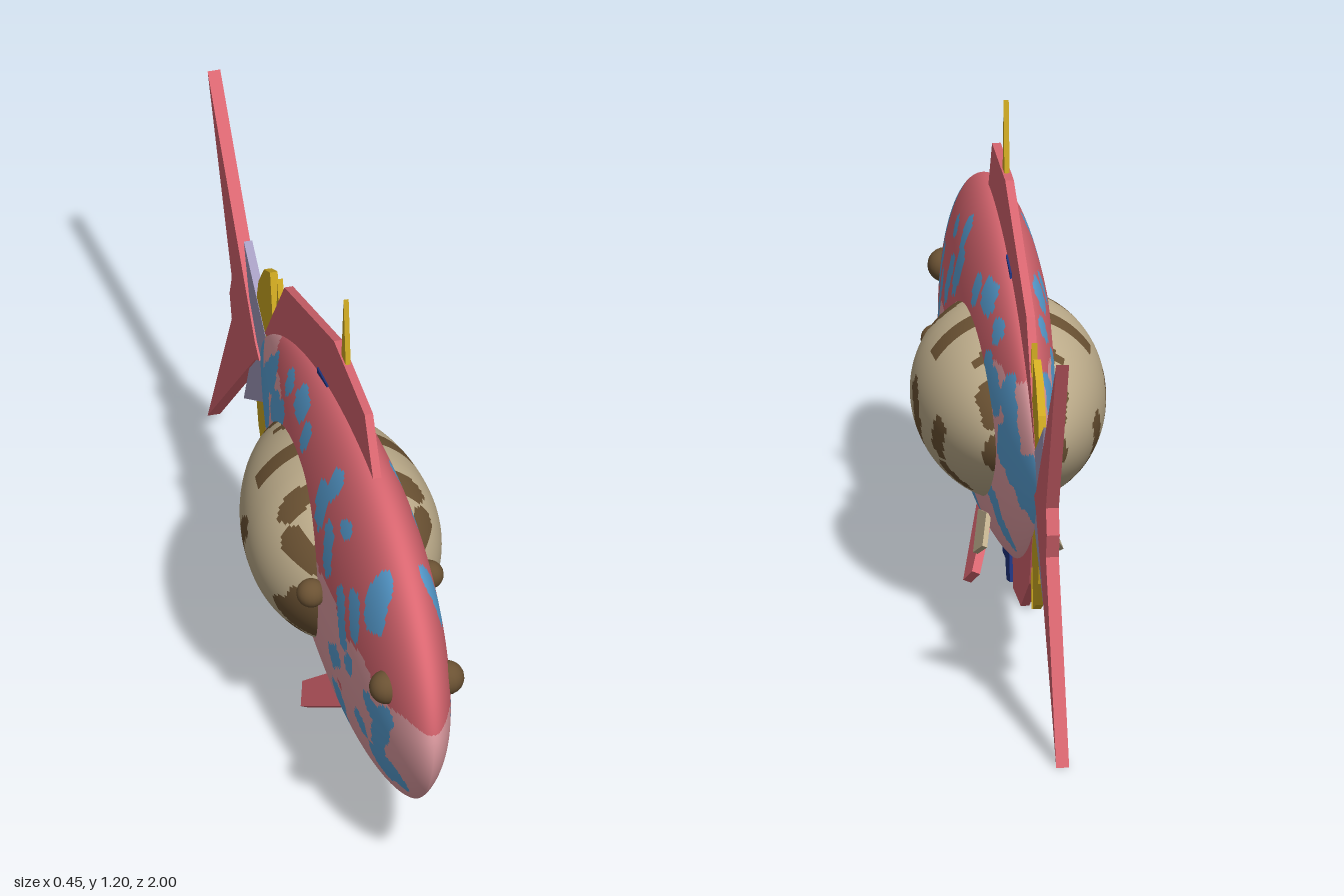
import * as THREE from 'three';

const mat = (name, color) => {
  const m = new THREE.MeshStandardMaterial({ color });
  m.name = name;
  return m;
};

// Distance test against capsule spots [z1, y1, z2, y2, radius]
function inSpots(spots, z, y) {
  return spots.some(([z1, y1, z2, y2, r]) => {
    const dz = z2 - z1, dy = y2 - y1, len = dz * dz + dy * dy;
    const t = len ? THREE.MathUtils.clamp(((z - z1) * dz + (y - y1) * dy) / len, 0, 1) : 0;
    const wobble = 1 + 0.12 * Math.sin(70 * z + 40 * y);
    return Math.hypot(z - z1 - t * dz, y - y1 - t * dy) < r * wobble;
  });
}

// Fish hull lofted from nose to tail; paint(z, y) gives the material index of each face
function hull(o, paint, materials) {
  const { rings, sides, zMid, front, rear, rx, ry, taperX, keel } = o;
  const pos = [], faces = materials.map(() => []);
  for (let i = 0; i <= rings; i++) {
    const a = Math.PI * i / rings, c = Math.cos(a), s = Math.max(0, Math.sin(a));
    const z = zMid + c * (c > 0 ? front : rear);
    const w = rx * Math.pow(s, c > 0 ? 1 : taperX);
    const h = ry * Math.pow(s, c > 0 ? 1 : 1.5);
    for (let j = 0; j < sides; j++) {
      const b = 2 * Math.PI * j / sides, cb = Math.cos(b), sb = Math.sin(b);
      const x = sb < 0 ? Math.sign(cb) * Math.pow(Math.abs(cb), keel) : cb;
      pos.push(w * x, 0.5 + h * sb, z);
    }
  }
  for (let i = 0; i < rings; i++) {
    for (let j = 0; j < sides; j++) {
      const k = (j + 1) % sides;
      const p = i * sides + j, q = p + sides, r = i * sides + k, t = r + sides;
      const y = (pos[p * 3 + 1] + pos[t * 3 + 1]) / 2, z = (pos[p * 3 + 2] + pos[t * 3 + 2]) / 2;
      faces[paint(z, y)].push(p, q, r, q, t, r);
    }
  }
  const geo = new THREE.BufferGeometry();
  geo.setAttribute('position', new THREE.Float32BufferAttribute(pos, 3));
  geo.setIndex(faces.flat());
  let start = 0;
  faces.forEach((f, i) => { geo.addGroup(start, f.length, i); start += f.length; });
  geo.computeVertexNormals();
  return new THREE.Mesh(geo, materials);
}

// Flat fin cut from a (z, y) outline, centred on x = 0
function fin(name, outline, thickness, material) {
  const shape = new THREE.Shape(outline.map(([z, y]) => new THREE.Vector2(z, y)));
  const geo = new THREE.ExtrudeGeometry(shape, { depth: thickness, bevelEnabled: false });
  geo.translate(0, 0, -thickness / 2).rotateY(-Math.PI / 2);
  const mesh = new THREE.Mesh(geo, material);
  mesh.name = name;
  return mesh;
}

const BODY_SPOTS = [
  [0.74, 0.76, 0.75, 0.7, 0.045], [0.65, 0.67, 0.67, 0.61, 0.032], [0.52, 0.78, 0.51, 0.78, 0.025],
  [0.39, 0.82, 0.38, 0.81, 0.035], [0.44, 0.71, 0.45, 0.65, 0.035], [0.34, 0.75, 0.35, 0.72, 0.042],
  [0.57, 0.63, 0.6, 0.54, 0.028], [0.86, 0.49, 0.78, 0.35, 0.033], [0.84, 0.31, 0.75, 0.29, 0.042],
  [0.77, 0.47, 0.8, 0.46, 0.03], [0.69, 0.35, 0.68, 0.36, 0.03], [0.65, 0.5, 0.64, 0.49, 0.025],
  [0.55, 0.45, 0.52, 0.43, 0.03], [0.51, 0.31, 0.48, 0.24, 0.042], [0.35, 0.2, 0.18, 0.23, 0.042],
  [0.05, 0.79, 0, 0.78, 0.035], [0.12, 0.76, 0.14, 0.78, 0.028], [-0.11, 0.75, -0.1, 0.75, 0.03],
  [-0.1, 0.66, -0.2, 0.62, 0.04], [-0.27, 0.66, -0.36, 0.57, 0.045], [-0.28, 0.54, -0.45, 0.48, 0.05],
  [-0.45, 0.5, -0.56, 0.5, 0.075], [-0.15, 0.35, -0.18, 0.29, 0.045],
];
const EGG_SPOTS = [
  [0.24, 0.68, 0.25, 0.66, 0.03], [0.38, 0.59, 0.31, 0.62, 0.027], [0.09, 0.69, 0.08, 0.65, 0.032],
  [-0.05, 0.69, -0.06, 0.67, 0.02], [-0.15, 0.63, -0.2, 0.58, 0.032], [0.12, 0.53, 0.09, 0.47, 0.03],
  [0.1, 0.45, 0.16, 0.38, 0.028], [0.41, 0.49, 0.34, 0.42, 0.052], [-0.05, 0.5, -0.02, 0.44, 0.026],
  [-0.01, 0.38, -0.03, 0.36, 0.027], [-0.24, 0.52, -0.22, 0.47, 0.03], [0.3, 0.36, 0.3, 0.36, 0.02],
];

export function createModel() {
  const group = new THREE.Group();
  const red = mat('coral red', 0xd96670), pink = mat('pale pink', 0xe5a0a6);
  const blue = mat('sky blue', 0x5aa3d8), tan = mat('tan', 0xbfae8c);
  const brown = mat('brown', 0x6b5233), gold = mat('gold', 0xd2ac22);
  const navy = mat('navy', 0x203580), lavender = mat('lavender', 0xa59dc0);

  // Main body: red back, pink belly, blue patches
  const body = hull(
    { rings: 190, sides: 200, zMid: 0.4, front: 0.6, rear: 0.98, rx: 0.12, ry: 0.397, taperX: 2, keel: 1.4 },
    (z, y) => {
      if (Math.hypot(z - 0.555, y - 0.37) < 0.014) return 0;
      if (inSpots(BODY_SPOTS, z, y)) return 2;
      return y > 0.52 + 0.14 * (1 - z) + 0.012 * Math.sin(28 * z) ? 0 : 1;
    }, [red, pink, blue]);
  body.name = 'body';
  group.add(body);

  // Rounded inner body bulging from both flanks
  const egg = hull(
    { rings: 100, sides: 140, zMid: 0.17, front: 0.28, rear: 0.45, rx: 0.224, ry: 0.232, taperX: 1.5, keel: 1 },
    (z, y) => (inSpots(EGG_SPOTS, z, y) ? 1 : 0), [tan, brown]);
  egg.name = 'flankBulge';
  group.add(egg);

  // Fins on the centre line
  group.add(
    fin('dorsalFin', [[0.5, 0.87], [0.41, 1.02], [0.13, 1.03], [-0.32, 0.86], [-0.5, 0.6], [-0.2, 0.7], [0.2, 0.8]], 0.02, red),
    fin('dorsalSpike', [[0.225, 1.0], [0.203, 1.2], [0.18, 1.0]], 0.012, gold),
    fin('analFin', [[0.02, 0.2], [-0.04, 0.095], [-0.2, 0.11], [-0.38, 0.23], [-0.45, 0.38], [-0.2, 0.3]], 0.02, red),
    fin('tailFin', [[-0.53, 0.5], [-0.57, 0.525], [-1, 0.99], [-0.78, 0.56], [-0.8, 0.5],
      [-0.78, 0.44], [-1, 0.005], [-0.57, 0.475]], 0.03, red),
    fin('innerTailFin', [[-0.35, 0.5], [-0.69, 0.725], [-0.6, 0.5], [-0.69, 0.277]], 0.02, lavender),
    fin('bellyPlate', [[0.07, 0.15], [0.035, 0.09], [-0.04, 0.11], [-0.02, 0.19]], 0.035, navy),
    fin('smallBellyPlate', [[0.17, 0.16], [0.14, 0.12], [0.09, 0.125], [0.09, 0.17]], 0.03, navy),
    fin('backPlate', [[0.08, 0.868], [-0.01, 0.855], [-0.01, 0.82], [0.08, 0.82]], 0.028, navy));

  // Gold fans and slivers above and below the tail root
  for (const s of [1, -1]) {
    const flip = (pts) => pts.map(([z, y]) => [z, 0.5 + s * y]);
    group.add(
      fin('goldFan', flip([[-0.42, 0.1], [-0.43, 0.18], [-0.455, 0.305], [-0.51, 0.275], [-0.56, 0.205],
        [-0.585, 0.12], [-0.56, 0.04]]), 0.018, gold),
      fin('goldSliver', flip([[-0.36, 0.18], [-0.4, 0.325], [-0.405, 0.1]]), 0.014, gold));
  }

  // Paired fins and eyes
  const eyeGeo = new THREE.SphereGeometry(1, 20, 14);
  const addEye = (name, x, y, z, r) => {
    const eye = new THREE.Mesh(eyeGeo, brown);
    eye.name = name;
    eye.position.set(x, y, z);
    eye.scale.setScalar(r);
    group.add(eye);
  };
  for (const s of [1, -1]) {
    const pelvic = fin('pelvicFin', [[0.17, 0], [0.07, 0.03], [-0.055, -0.09], [-0.01, -0.13]], 0.02, red);
    pelvic.position.set(s * 0.042, 0.155, 0.19);
    pelvic.rotation.z = s * 0.4;
    const side = fin('sideFin', [[0.08, 0.0], [-0.01, 0.025], [-0.105, -0.025], [-0.045, -0.065]], 0.012, tan);
    side.position.set(s * 0.074, 0.25, -0.01);
    side.rotation.z = s * 0.4;
    group.add(pelvic, side);
    addEye('eye', s * 0.072, 0.567, 0.845, 0.04);
    addEye('bulgeEye', s * 0.14, 0.543, 0.42, 0.034);
  }
  return group;
}
